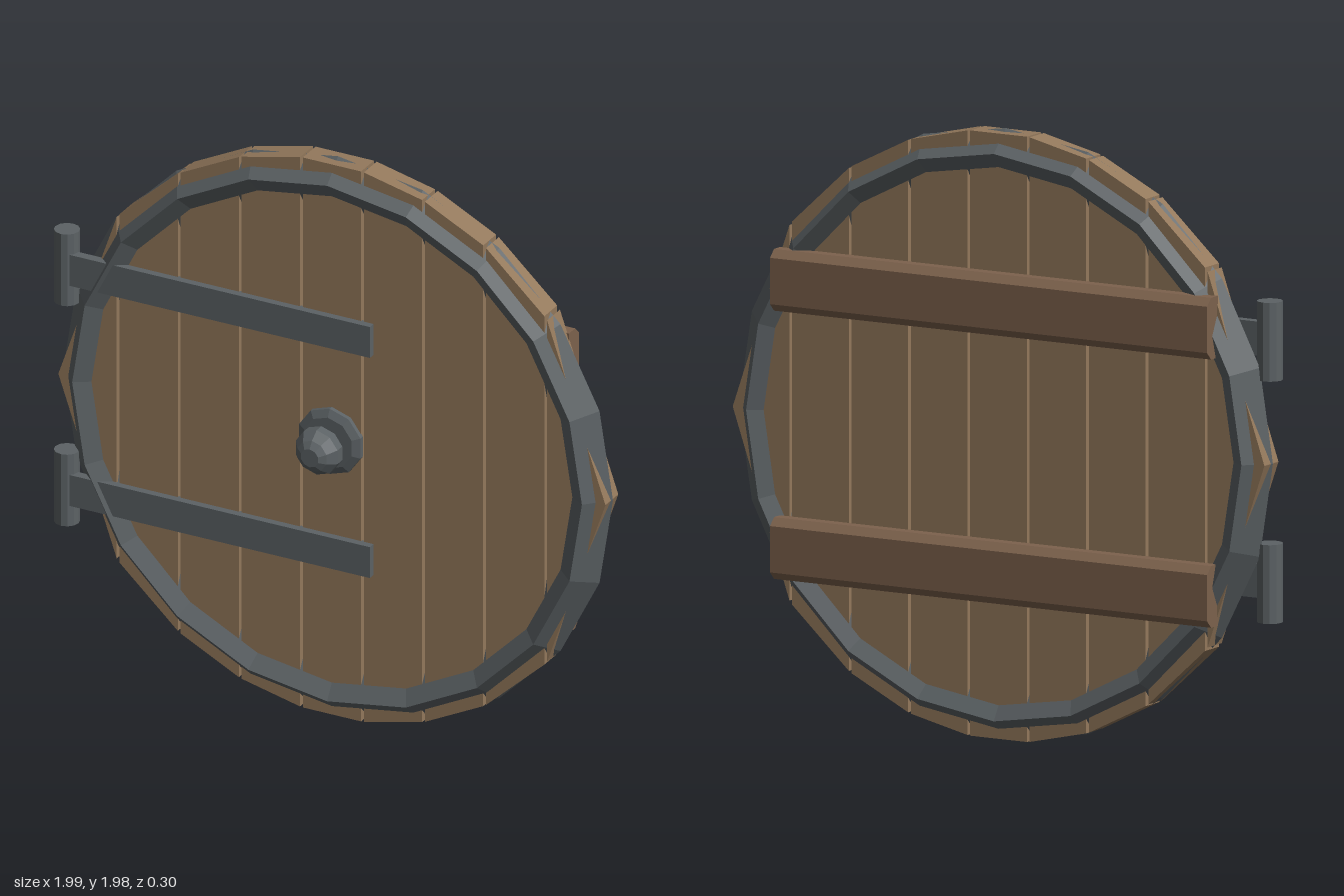
import * as THREE from 'three';

const wood = new THREE.MeshStandardMaterial({ color: 0x94795c, flatShading: true });
const darkWood = new THREE.MeshStandardMaterial({ color: 0x7d624d, flatShading: true });
const metal = new THREE.MeshStandardMaterial({ color: 0x5c6265, flatShading: true });

function add(parent, name, geometry, material, x = 0, y = 0, z = 0) {
  const mesh = new THREE.Mesh(geometry, material);
  mesh.name = name;
  mesh.position.set(x, y, z);
  parent.add(mesh);
  return mesh;
}

// Straight-sided extrusion of a list of [x, y] corners
function prism(corners, depth) {
  const shape = new THREE.Shape(corners.map(([x, y]) => new THREE.Vector2(x, y)));
  return new THREE.ExtrudeGeometry(shape, { depth, bevelEnabled: false });
}

// Turned part whose axis points to the front; profile is [radius, z]
function turned(profile, sides) {
  const points = profile.map(([r, z]) => new THREE.Vector2(r, z));
  return new THREE.LatheGeometry(points, sides).rotateX(Math.PI / 2);
}

export function createModel() {
  const door = new THREE.Group();
  door.name = 'roundDoor';

  // Nine upright planks, each cut straight between the points where its edges meet the circle
  const radius = 0.985, pitch = 0.22, halfWidth = 0.105;
  const rise = (x) => Math.sqrt(Math.max(0, radius * radius - x * x));
  const planks = new THREE.Group();
  planks.name = 'planks';
  door.add(planks);
  for (let i = -4; i <= 4; i++) {
    const a = i * pitch - halfWidth, b = i * pitch + halfWidth;
    const ha = Math.max(rise(a), 0.001), hb = Math.max(rise(b), 0.001);
    add(planks, 'plank', prism([[a, -ha], [b, -hb], [b, hb], [a, ha]], 0.087), wood, 0, 1, -0.09);
  }

  // Twenty-sided rim with a diamond section
  const rim = [[0.99, -0.045], [0.918, 0.03], [0.8, -0.045], [0.918, -0.12], [0.99, -0.045]];
  add(door, 'rim', turned(rim, 20), metal, 0, 1, 0);

  // Chamfered battens across the back
  for (const y of [0.565, 1.433]) {
    const h = 0.1, c = 0.025;
    const section = [[0.085, -h], [0.152 - c, -h], [0.152, -h + c],
      [0.152, h - c], [0.152 - c, h], [0.085, h]];
    add(door, 'batten', prism(section, 1.62).rotateY(Math.PI / 2), darkWood, -0.81, y, 0);
  }

  // Strap hinges with upright pins
  for (const y of [0.608, 1.392]) {
    const hinge = new THREE.Group();
    hinge.name = 'hinge';
    hinge.position.y = y;
    door.add(hinge);
    add(hinge, 'strap', new THREE.BoxGeometry(1.09, 0.11, 0.032), metal, -0.395, 0, 0.006);
    add(hinge, 'pin', new THREE.CylinderGeometry(0.042, 0.042, 0.255, 12), metal, -0.958, 0, -0.01);
  }

  // Knob on a round back plate
  const plate = [[0.116, -0.005], [0.116, 0.012], [0.09, 0.025], [0, 0.025]];
  add(door, 'knobPlate', turned(plate, 10), metal, 0, 1, 0);
  const knob = [[0.045, 0.02], [0.045, 0.04], [0.079, 0.068], [0.079, 0.1],
    [0.055, 0.132], [0.032, 0.148], [0, 0.148]];
  add(door, 'knob', turned(knob, 10), metal, 0, 1, 0);

  return door;
}
